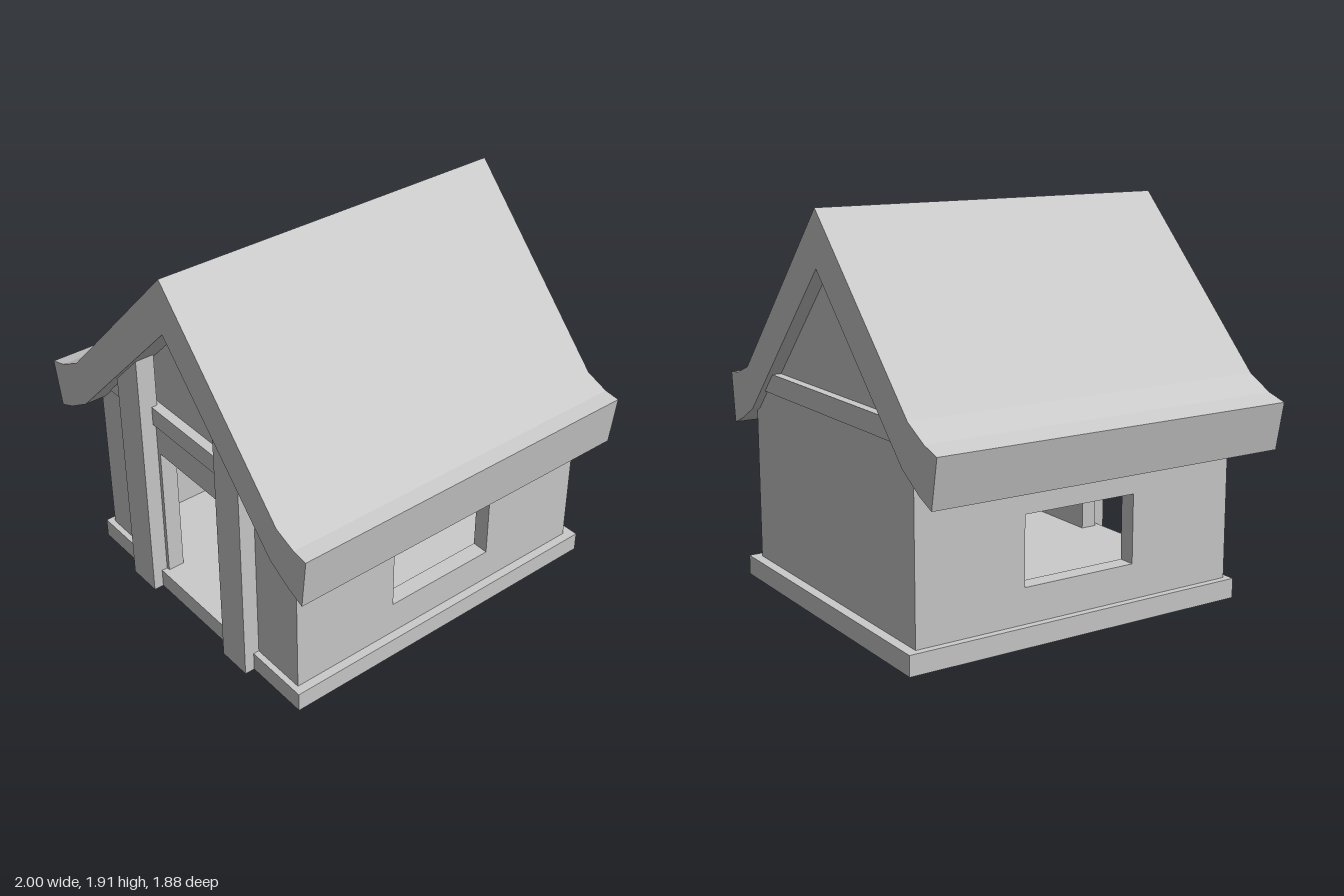
import * as THREE from 'three';

const CX = 0.025; // ridge line in x
const T = 0.085; // wall thickness

function material() {
  return new THREE.MeshStandardMaterial({ color: 0xcccccc, flatShading: true });
}

function makeShape(points) {
  return new THREE.Shape(points.map(([x, y]) => new THREE.Vector2(x, y)));
}

function rectHole(x0, x1, y0, y1) {
  return new THREE.Path([[x0, y0], [x0, y1], [x1, y1], [x1, y0]].map(([x, y]) => new THREE.Vector2(x, y)));
}

// Extrudes a front-facing outline between two z positions
function slab(name, shape, z0, z1) {
  const geometry = new THREE.ExtrudeGeometry(shape, { depth: z1 - z0, bevelEnabled: false });
  geometry.translate(0, 0, z0);
  const mesh = new THREE.Mesh(geometry, material());
  mesh.name = name;
  return mesh;
}

function box(name, x0, x1, y0, y1, z0, z1) {
  const geometry = new THREE.BoxGeometry(x1 - x0, y1 - y0, z1 - z0);
  geometry.translate((x0 + x1) / 2, (y0 + y1) / 2, (z0 + z1) / 2);
  const mesh = new THREE.Mesh(geometry, material());
  mesh.name = name;
  return mesh;
}

export function createModel() {
  const house = new THREE.Group();
  house.name = 'smallHouse';

  // Floor slab
  house.add(box('base', -0.78, 0.835, 0, 0.098, -0.94, 0.865));

  // End walls, the front one with a doorway
  const endOutline = [[-0.745, 0.09], [0.79, 0.09], [0.79, 0.9], [0.7, 0.98], [-0.65, 0.98], [-0.745, 0.9]];
  const front = makeShape(endOutline);
  front.holes.push(rectHole(-0.245, 0.285, 0.098, 0.81));
  house.add(slab('frontWall', front, 0.835 - T, 0.835));
  house.add(slab('backWall', makeShape(endOutline), -0.89, -0.89 + T));

  // Side walls with windows, drawn in (-z, y) and turned to face sideways
  for (const [name, x] of [['rightWall', -0.745], ['leftWall', 0.79 - T]]) {
    const side = makeShape([[-0.75, 0.09], [0.805, 0.09], [0.805, 0.95], [-0.75, 0.95]]);
    side.holes.push(rectHole(-0.27, 0.33, 0.27, 0.605));
    const wall = slab(name, side, 0, T);
    wall.geometry.rotateY(Math.PI / 2);
    wall.geometry.translate(x, 0, 0);
    house.add(wall);
  }

  // Recessed gables and the tie beams below them
  const gable = makeShape([[-0.56, 1.06], [0.595, 1.06], [CX, 1.66]]);
  const beam = makeShape([[-0.66, 0.975], [0.69, 0.975], [0.595, 1.072], [-0.56, 1.072]]);
  house.add(slab('frontGable', gable, 0.73, 0.8));
  house.add(slab('backGable', gable, -0.86, -0.79));
  house.add(slab('frontBeam', beam, 0.74, 0.85));
  house.add(slab('backBeam', beam, -0.905, -0.795));

  // Posts beside the doorway, running up into the roof
  const posts = [
    ['rightPost', [[-0.445, 0], [-0.265, 0], [-0.265, 1.37], [-0.445, 1.19]]],
    ['leftPost', [[0.32, 0], [0.495, 0], [0.495, 1.17], [0.32, 1.36]]],
  ];
  for (const [name, outline] of posts) house.add(slab(name, makeShape(outline), 0.82, 0.915));

  // Roof with flared eaves
  const roof = makeShape([
    [-0.955, 0.765], [-0.86, 0.805], [-0.72, 0.89], [CX, 1.64], [0.755, 0.875], [0.875, 0.805], [0.97, 0.765],
    [1, 1.02], [0.92, 1.03], [0.805, 1.075], [CX, 1.91], [-0.77, 1.1], [-0.9, 1.03], [-1, 1],
  ]);
  house.add(slab('roof', roof, -0.93, 0.945));

  return house;
}
